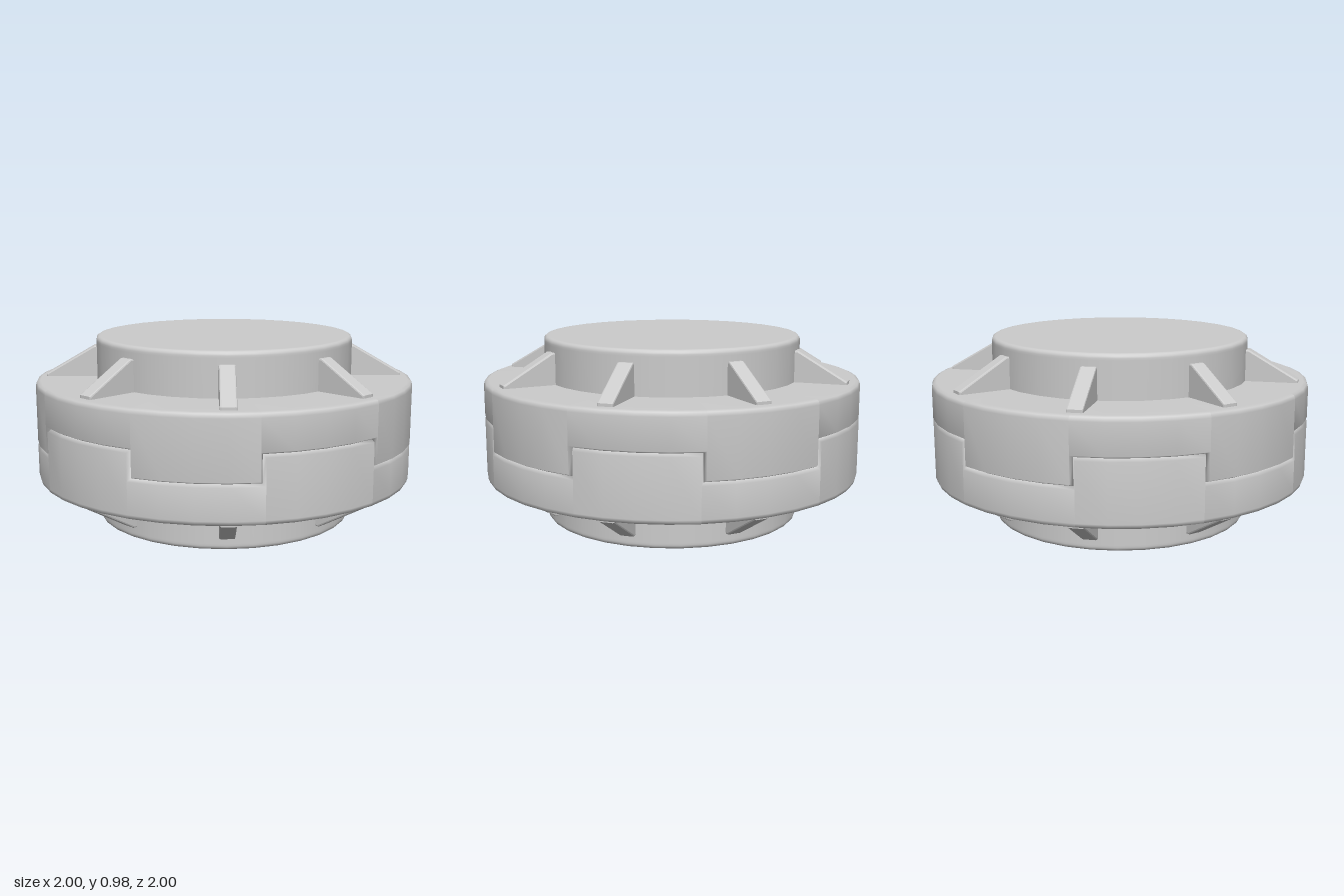
import * as THREE from 'three';

const MID = 0.49;          // height of the symmetry plane
const SEGS = 10, COLS = 4; // seam steps around the ring, columns per step

// Half of the ring, with a stepped lower edge that interlocks with its twin
function halfRingGeometry() {
  const step = (Math.PI * 2) / SEGS, seam = 0.068, bevel = 0.012;
  const rim = [[0.6, 0.265], [0.975, 0.265], [0.993, 0.258], [1, 0.238]];
  const rows = rim.length + 2, total = SEGS * (COLS + 1);
  const pos = [], index = [];
  const put = (r, y, t) => pos.push(r * Math.sin(t), y, r * Math.cos(t));
  for (let k = 0; k < SEGS; k++) {
    const tooth = k % 2 === 0;           // even steps reach down, odd steps are notches
    const y = tooth ? -seam : seam;
    const shift = tooth ? bevel : -bevel; // teeth shrink, notches widen
    for (let c = 0; c <= COLS; c++) {
      const f = c / COLS, base = (k + f) * step;
      const outer = base + shift * (1 - 2 * f);
      for (const [r, h] of rim) put(r, h, outer);
      put(1, y + bevel, outer);
      put(0.975, y, base);
    }
  }
  for (let i = 0; i < total; i++) {
    for (let j = 0; j < rows - 1; j++) {
      const a = i * rows + j, d = ((i + 1) % total) * rows + j;
      index.push(a, a + 1, d + 1, a, d + 1, d);
    }
  }
  const geo = new THREE.BufferGeometry();
  geo.setAttribute('position', new THREE.Float32BufferAttribute(pos, 3));
  geo.setIndex(index);
  geo.computeVertexNormals();
  return geo;
}

// Round hub running through the ring, with softened edges
function hubGeometry() {
  const R = 0.68, H = 0.49, e = 0.022, half = [];
  for (let i = 0; i <= 4; i++) {
    const a = (i / 4) * Math.PI / 2;
    half.push([R - e + e * Math.cos(a), H - e + e * Math.sin(a)]);
  }
  half.push([R - e - 0.01, H], [0, H]);
  half.unshift([R, H - e - 0.01]);
  const lower = half.map(([r, y]) => [r, -y]).reverse();
  const pts = [...lower, ...half].map(([r, y]) => new THREE.Vector2(r, y));
  return new THREE.LatheGeometry(pts, 32);
}

// Sloping rib profile (radius, height), extruded to its thickness
function ribGeometry() {
  const b = 0.008, width = 0.08;
  const shape = new THREE.Shape([
    [0.64, 0.25], [0.94, 0.25], [0.94, 0.275], [0.69, 0.42], [0.64, 0.42],
  ].map(([x, y]) => new THREE.Vector2(x, y)));
  const geo = new THREE.ExtrudeGeometry(shape, {
    depth: width - 2 * b, bevelEnabled: true, bevelSize: b, bevelThickness: b, bevelSegments: 2,
  });
  return geo.translate(0, 0, b - width / 2);
}

export function createModel() {
  const model = new THREE.Group();
  model.name = 'ribbedDisc';
  const mat = new THREE.MeshStandardMaterial({ color: 0xcccccc });
  const add = (parent, name, geo) => {
    const mesh = new THREE.Mesh(geo, mat);
    mesh.name = name;
    parent.add(mesh);
    return mesh;
  };

  add(model, 'hub', hubGeometry()).position.y = MID;

  // Upper half, and the same half turned over for the lower one
  const ring = halfRingGeometry(), rib = ribGeometry();
  for (const side of ['upper', 'lower']) {
    const half = new THREE.Group();
    half.name = side + 'Half';
    half.position.y = MID;
    if (side === 'lower') half.rotation.z = Math.PI;
    add(half, side + 'Ring', ring);
    for (let i = 0; i < 8; i++) {
      add(half, side + 'Rib' + (i + 1), rib).rotation.y = (i * Math.PI) / 4;
    }
    model.add(half);
  }
  return model;
}
